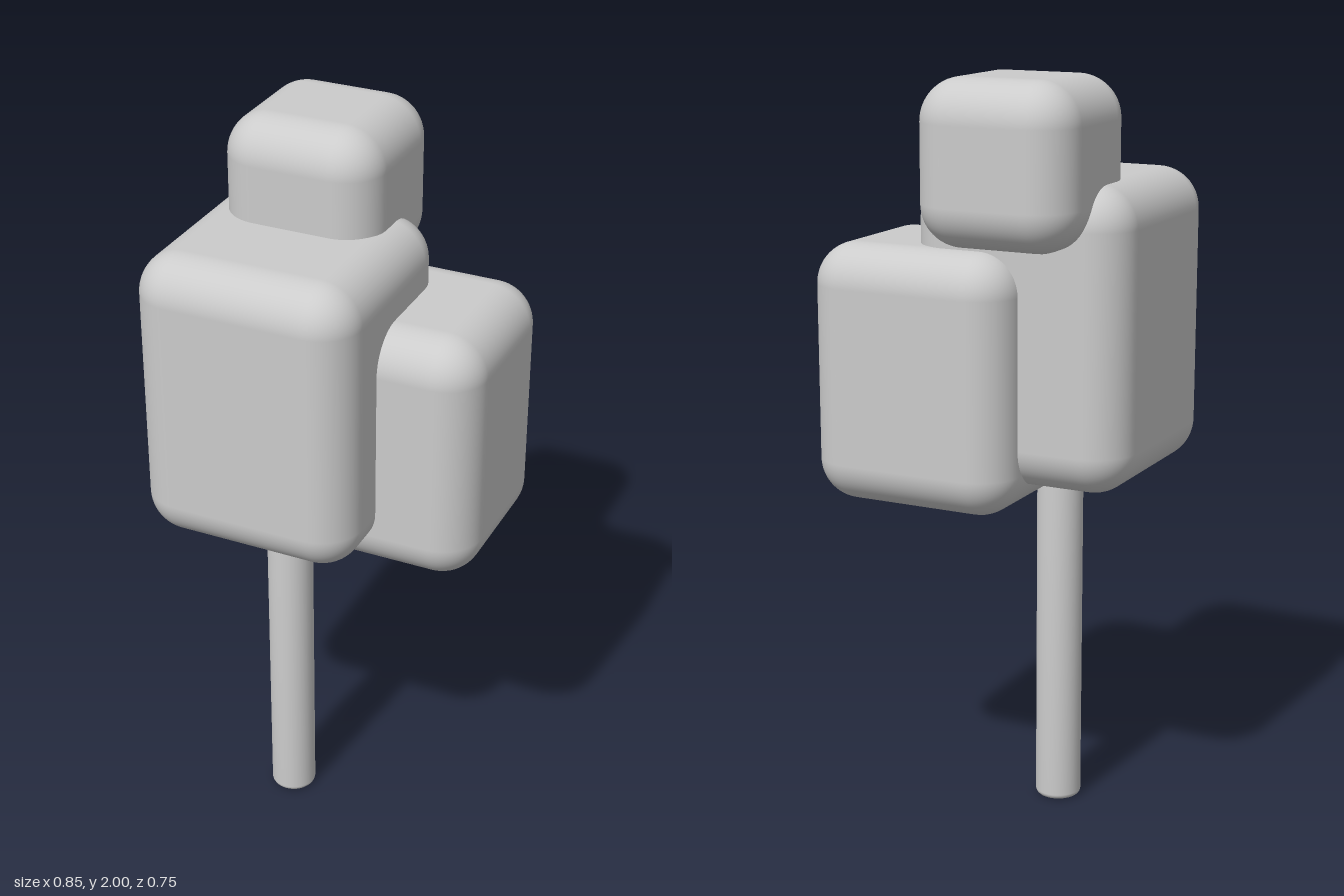
import * as THREE from 'three';
import { RoundedBoxGeometry } from 'three/addons/geometries/RoundedBoxGeometry.js';

export function createModel() {
  const tree = new THREE.Group();
  tree.name = 'tree';
  const material = new THREE.MeshStandardMaterial({ color: 0xcccccc });

  // Soft-edged leaf block spanning two opposite corners
  const addFoliage = (name, min, max) => {
    const size = max.map((v, i) => v - min[i]);
    const mesh = new THREE.Mesh(new RoundedBoxGeometry(...size, 8, 0.11), material);
    mesh.position.set(...max.map((v, i) => (v + min[i]) / 2));
    mesh.name = name;
    tree.add(mesh);
  };
  addFoliage('mainFoliage', [-0.425, 0.95, -0.225], [0.17, 1.74, 0.372]);
  addFoliage('sideFoliage', [-0.15, 0.88, -0.325], [0.422, 1.565, 0.182]);
  addFoliage('topFoliage', [-0.34, 1.58, -0.375], [0.087, 2.0, 0.052]);

  // Round trunk with a softened foot, running up into the main foliage
  const r = 0.062, bevel = 0.015;
  const profile = [new THREE.Vector2(0, 0)];
  for (let i = 0; i <= 5; i++) {
    const a = (i / 5) * Math.PI / 2;
    profile.push(new THREE.Vector2(r - bevel + bevel * Math.sin(a), bevel - bevel * Math.cos(a)));
  }
  profile.push(new THREE.Vector2(r, 1.1), new THREE.Vector2(0, 1.1));
  const trunk = new THREE.Mesh(new THREE.LatheGeometry(profile, 32), material);
  trunk.name = 'trunk';
  trunk.position.set(-0.128, 0, 0.076);
  tree.add(trunk);

  return tree;
}
